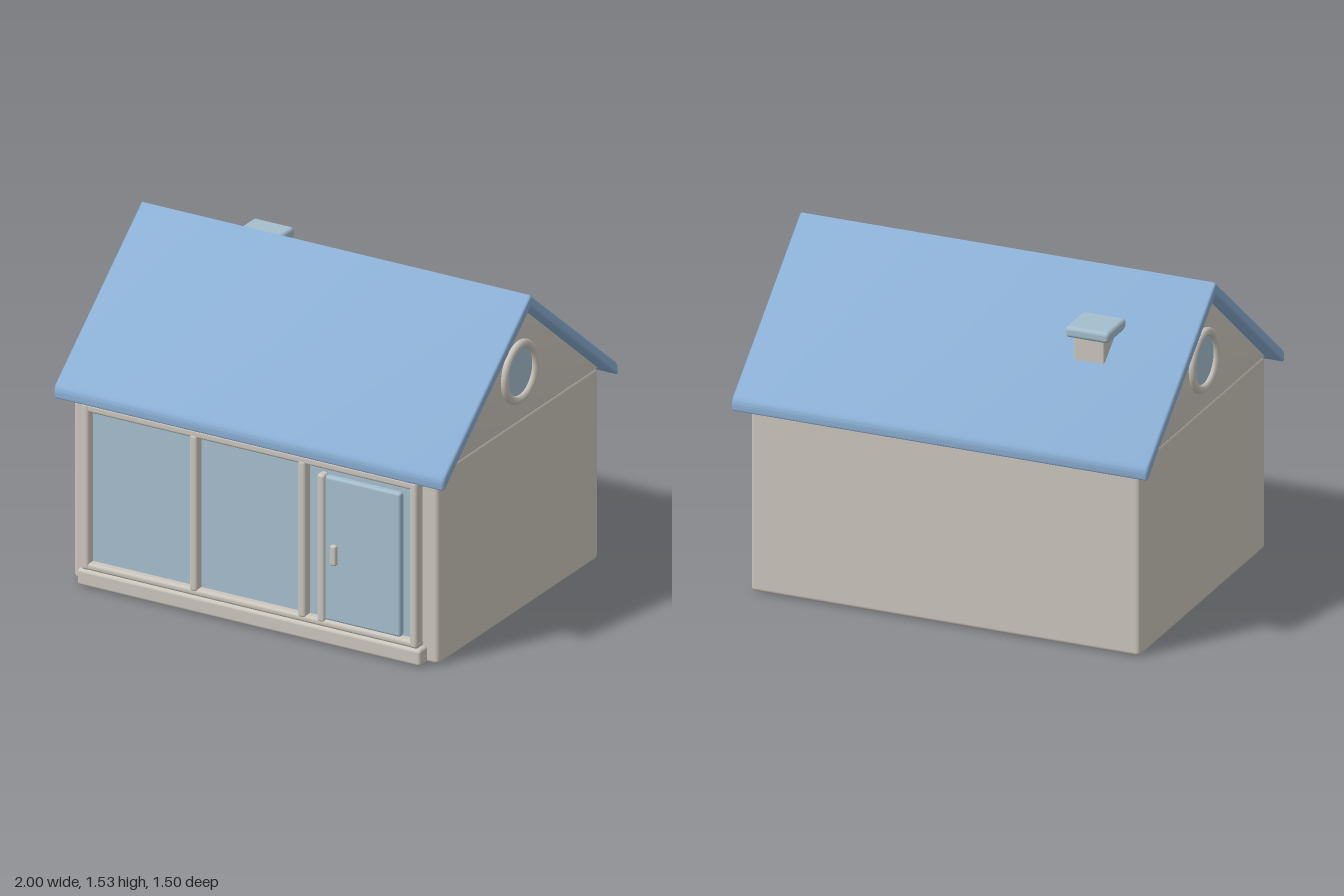
import * as THREE from 'three';
import { RoundedBoxGeometry } from 'three/addons/geometries/RoundedBoxGeometry.js';
import { toCreasedNormals } from 'three/addons/utils/BufferGeometryUtils.js';

export function createModel() {
  const house = new THREE.Group();
  house.name = 'house';

  const material = (name, color) => {
    const m = new THREE.MeshStandardMaterial({ color });
    m.name = name;
    return m;
  };
  const plaster = material('warm grey plaster', 0xcbc6bd);
  const blue = material('blue roof', 0x8aaed3);
  const glass = material('pale blue glass', 0xa5becd);

  const add = (name, geometry, mat) => {
    const mesh = new THREE.Mesh(geometry, mat);
    mesh.name = name;
    house.add(mesh);
    return mesh;
  };

  // Soft-edged box given by its minimum and maximum on each axis
  const block = (name, mat, [x0, x1], [y0, y1], [z0, z1], radius = 0.015) => {
    const geometry = new RoundedBoxGeometry(x1 - x0, y1 - y0, z1 - z0, 3, radius);
    geometry.translate((x0 + x1) / 2, (y0 + y1) / 2, (z0 + z1) / 2);
    return add(name, geometry, mat);
  };

  // Profile in z and y, extruded along x with softened ends
  const extrudeX = (shape, length, bevel) => {
    const geometry = new THREE.ExtrudeGeometry(shape, {
      depth: length - 2 * bevel,
      bevelThickness: bevel,
      bevelSize: bevel,
      bevelOffset: -bevel,
      bevelSegments: 3,
      curveSegments: 6,
    });
    geometry.translate(0, 0, -length / 2 + bevel);
    geometry.rotateY(Math.PI / 2);
    return toCreasedNormals(geometry, 0.6);
  };

  // Walls and the gable above them
  block('walls', plaster, [-0.935, 0.935], [0, 0.92], [-0.685, 0.685], 0.02);
  const gable = new THREE.Shape();
  gable.moveTo(-0.685, 0.915);
  gable.lineTo(0.685, 0.915);
  gable.lineTo(0, 1.475);
  gable.closePath();
  add('gable', extrudeX(gable, 1.868, 0.006), plaster);

  // Roof of two slopes with rounded eaves
  const roof = new THREE.Shape();
  roof.moveTo(0, 1.535);
  roof.lineTo(-0.73, 0.943);
  roof.quadraticCurveTo(-0.75, 0.925, -0.75, 0.905);
  roof.lineTo(-0.75, 0.885);
  roof.quadraticCurveTo(-0.75, 0.868, -0.735, 0.88);
  roof.lineTo(0, 1.475);
  roof.lineTo(0.735, 0.88);
  roof.quadraticCurveTo(0.75, 0.868, 0.75, 0.885);
  roof.lineTo(0.75, 0.905);
  roof.quadraticCurveTo(0.75, 0.925, 0.73, 0.943);
  roof.closePath();
  add('roof', extrudeX(roof, 2, 0.012), blue);

  // Chimney on the rear slope
  block('chimneyStack', plaster, [-0.63, -0.48], [1.1, 1.345], [-0.378, -0.226], 0.01);
  block('chimneyCap', glass, [-0.66, -0.45], [1.335, 1.387], [-0.403, -0.2], 0.018);

  // Round window in each gable
  for (const side of [-1, 1]) {
    const ring = add('roundWindowFrame', new THREE.TorusGeometry(0.13, 0.02, 12, 48), plaster);
    ring.position.set(side * 0.94, 1.155, 0);
    ring.rotation.y = side * Math.PI / 2;
    const pane = add('roundWindowPane', new THREE.CircleGeometry(0.125, 48), glass);
    pane.position.set(side * 0.94, 1.155, 0);
    pane.rotation.y = side * Math.PI / 2;
  }

  // Glazed front: pane, sill, rails and posts
  block('frontPane', glass, [-0.84, 0.84], [0.1, 0.85], [0.68, 0.705], 0.004);
  block('sill', plaster, [-0.88, 0.88], [0.003, 0.082], [0.68, 0.75]);
  block('bottomRail', plaster, [-0.862, 0.862], [0.08, 0.115], [0.685, 0.742]);
  block('topRail', plaster, [-0.862, 0.862], [0.837, 0.88], [0.685, 0.742]);
  for (const x of [-0.843, 0.84]) {
    block('cornerPost', plaster, [x - 0.02, x + 0.02], [0.08, 0.88], [0.685, 0.745]);
  }
  for (const x of [-0.288, 0.267]) {
    block('mullion', plaster, [x - 0.021, x + 0.021], [0.1, 0.855], [0.685, 0.745]);
  }

  // Door with its hinge post and handle
  block('door', glass, [0.365, 0.767], [0.113, 0.803], [0.69, 0.732], 0.012);
  block('doorPost', plaster, [0.345, 0.385], [0.1, 0.812], [0.69, 0.745]);
  block('doorHandle', plaster, [0.415, 0.447], [0.388, 0.485], [0.725, 0.752], 0.01);

  return house;
}
